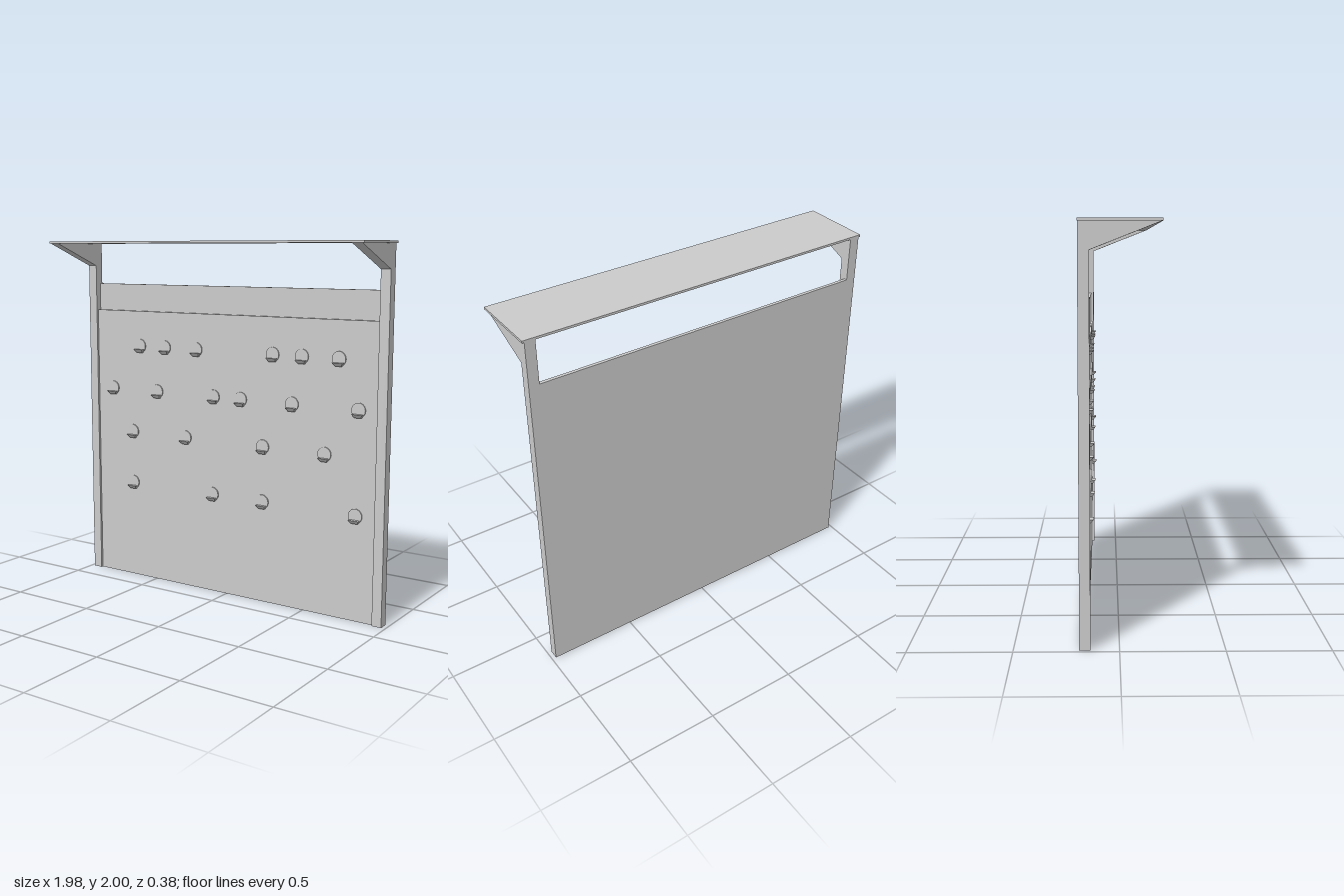
import * as THREE from 'three';

const material = new THREE.MeshStandardMaterial({ color: 0xcccccc, flatShading: true });

function add(parent, name, geometry) {
  const mesh = new THREE.Mesh(geometry, material);
  mesh.name = name;
  parent.add(mesh);
  return mesh;
}

// Box given by its limits on each axis
function block(parent, name, [x0, x1], [y0, y1], [z0, z1]) {
  const mesh = add(parent, name, new THREE.BoxGeometry(x1 - x0, y1 - y0, z1 - z0));
  mesh.position.set((x0 + x1) / 2, (y0 + y1) / 2, (z0 + z1) / 2);
}

// Profile in (z, y), extruded along x from x0 to x1
function sideProfile(points, x0, x1) {
  const shape = new THREE.Shape(points.map(([z, y]) => new THREE.Vector2(-z, y)));
  const geometry = new THREE.ExtrudeGeometry(shape, { depth: x1 - x0, bevelEnabled: false });
  return geometry.rotateY(Math.PI / 2).translate(x0, 0, 0);
}

const BACK = -0.19, POST_FRONT = -0.137, PANEL_FRONT = -0.15;

// Small round plate with a tapered lip across its lower edge
function createHold(x, y) {
  const hold = new THREE.Group();
  hold.name = 'hold';
  const plate = add(hold, 'holdPlate', new THREE.CylinderGeometry(0.04, 0.04, 0.008, 20));
  plate.rotation.x = Math.PI / 2;
  plate.position.set(0, 0.04, 0.003);

  const lip = new THREE.BoxGeometry(0.06, 0.02, 0.028);
  const p = lip.attributes.position;
  for (let i = 0; i < p.count; i++) {
    if (p.getY(i) < 0) {
      p.setX(i, p.getX(i) * 0.62);
      if (p.getZ(i) > 0) p.setZ(i, -0.002);
    }
  }
  lip.computeVertexNormals();
  add(hold, 'holdLip', lip).position.set(0, 0.01, 0.014);
  hold.position.set(x, y, PANEL_FRONT);
  return hold;
}

export function createModel() {
  const model = new THREE.Group();
  model.name = 'wallWithCanopy';

  // Backing board, flush with the back of the posts, and thicker lower panel
  block(model, 'backBoard', [-0.925, 0.922], [0, 1.755], [BACK, -0.172]);
  block(model, 'frontPanel', [-0.925, 0.922], [0, 1.6], [-0.172, PANEL_FRONT]);

  // Posts with a sloping bracket at the top
  const post = [[BACK, 0], [POST_FRONT, 0], [POST_FRONT, 1.86], [0.19, 1.988], [BACK, 1.988]];
  add(model, 'rightPost', sideProfile(post, -0.98, -0.925));
  add(model, 'leftPost', sideProfile(post, 0.922, 0.977));

  // Flat canopy
  block(model, 'canopy', [-0.99, 0.988], [1.988, 2], [BACK, 0.192]);

  // Rows of holds, the same layout on both halves of the wall
  const rows = [
    [1.358, [-0.608, -0.428, -0.208]],
    [1.098, [-0.812, -0.485, -0.09]],
    [0.846, [-0.667, -0.284]],
    [0.536, [-0.667, -0.096]],
  ];
  for (const [y, xs] of rows)
    for (const x of xs)
      for (const shift of [0, 0.903]) model.add(createHold(x + shift, y));

  return model;
}
